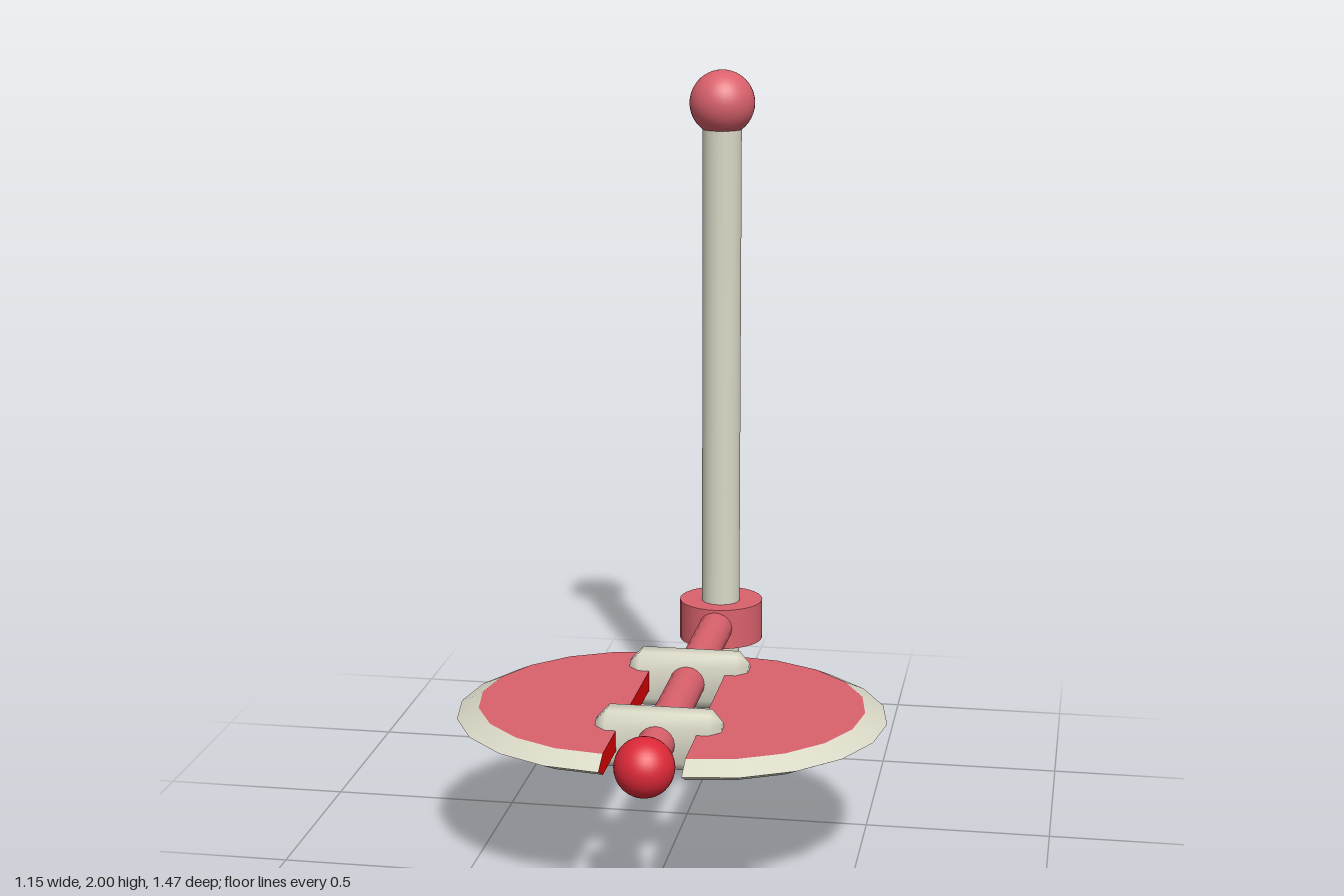
import * as THREE from 'three';
import { mergeVertices } from 'three/addons/utils/BufferGeometryUtils.js';

export function createModel() {
  const model = new THREE.Group();
  const material = (name, color, side = THREE.FrontSide) => {
    const m = new THREE.MeshStandardMaterial({ color, side });
    m.name = name;
    return m;
  };
  const cream = material('cream', 0xdad8c6);
  const rose = material('rose', 0xda616c);
  const red = material('red', 0xdc2838);
  const cutRed = material('cut red', 0xe60000, THREE.DoubleSide);

  const add = (parent, name, geometry, mat, x = 0, y = 0, z = 0) => {
    const mesh = new THREE.Mesh(geometry, mat);
    mesh.name = name;
    mesh.position.set(x, y, z);
    parent.add(mesh);
    return mesh;
  };

  const armY = 0.383, postZ = -0.603;

  // Upright post with a round knob on top
  add(model, 'post', new THREE.CylinderGeometry(0.056, 0.056, 1.88, 20), cream, 0, 0.94, postZ);
  add(model, 'topKnob', new THREE.SphereGeometry(0.093, 32, 20), rose, 0, 1.907, postZ);

  // Collar around the post and the arm reaching forward from it
  add(model, 'collar', new THREE.CylinderGeometry(0.122, 0.122, 0.118, 32), rose, 0, armY - 0.002, -0.613);
  const arm = new THREE.CylinderGeometry(0.049, 0.049, 1.2, 20).rotateX(Math.PI / 2);
  add(model, 'arm', arm, rose, 0, armY, 0.05);
  add(model, 'endBall', new THREE.SphereGeometry(0.078, 32, 20), red, 0, armY, 0.654);

  // Chamfered crossbars that hold the two half discs
  const w = 0.054, h = 0.076, c = 0.028, bevel = 0.03;
  const section = new THREE.Shape([
    [w - c, -h], [w, c - h], [w, h - c], [w - c, h],
    [c - w, h], [-w, h - c], [-w, c - h], [c - w, -h],
  ].map(([a, b]) => new THREE.Vector2(a, b)));
  let bar = new THREE.ExtrudeGeometry(section, {
    depth: 0.27, bevelEnabled: true, bevelSegments: 1,
    bevelSize: bevel, bevelOffset: -bevel, bevelThickness: bevel,
  });
  bar.translate(0, 0, -0.135).rotateY(Math.PI / 2);
  bar.deleteAttribute('normal');
  bar.deleteAttribute('uv');
  bar = mergeVertices(bar, 1e-4);
  bar.computeVertexNormals();
  for (const z of [-0.047, 0.435]) add(model, 'crossbar', bar, cream, 0, armY, z);

  // Half discs: flat plates, a rim tapering to an edge, and a straight cut face
  const R = 0.468, r = 0.41, t = 0.028;
  const ring = (x0, y0, x1, y1) => new THREE.LatheGeometry(
    [new THREE.Vector2(x0, y0), new THREE.Vector2(x1, y1)], 10, 0, Math.PI);
  const cut = new THREE.ShapeGeometry(new THREE.Shape([
    [-R, 0], [-r, -t], [r, -t], [R, 0], [r, t], [-r, t],
  ].map(([a, b]) => new THREE.Vector2(a, b)))).rotateY(-Math.PI / 2);
  for (const side of [1, -1]) {
    const half = new THREE.Group();
    half.name = side > 0 ? 'leftHalfDisc' : 'rightHalfDisc';
    half.position.set(side * 0.105, armY + 0.003, 0.249);
    if (side < 0) half.rotation.y = Math.PI;
    add(half, 'lowerPlate', ring(0, -t, r, -t), rose);
    add(half, 'lowerRim', ring(r, -t, R, 0), cream);
    add(half, 'upperRim', ring(R, 0, r, t), cream);
    add(half, 'upperPlate', ring(r, t, 0, t), rose);
    add(half, 'cutFace', cut, cutRed);
    model.add(half);
  }
  return model;
}
